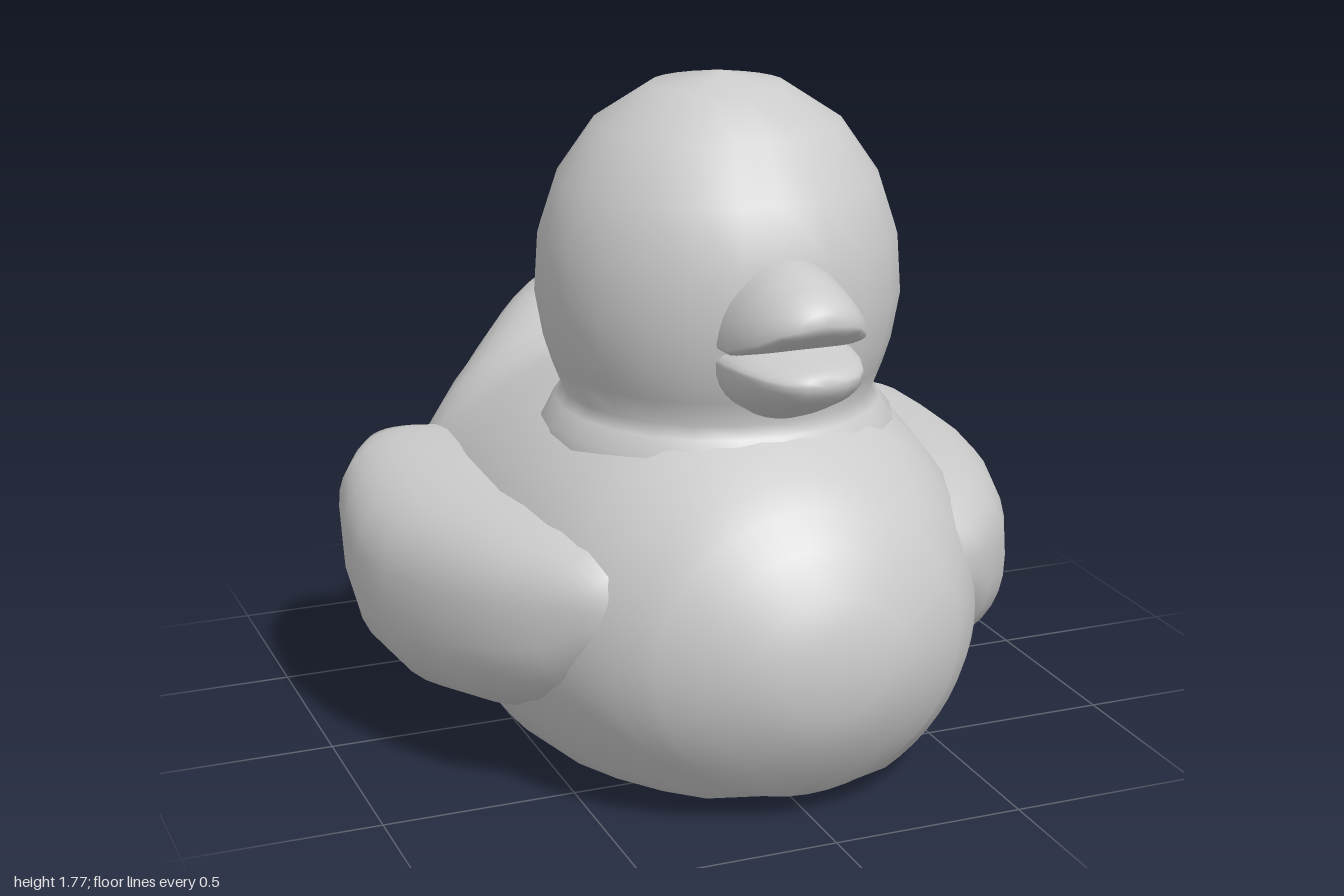
import * as THREE from 'three';
import { mergeVertices } from 'three/addons/utils/BufferGeometryUtils.js';

const material = new THREE.MeshStandardMaterial({ color: 0xcccccc });

// Skin a stack of oval rings running from +z to -z.
// Each row: [z, centreX, halfWidth, lowY, midY, highY]; power < 1 makes ovals boxier.
// Ovals reaching below the floor are cut there and closed with a slightly sagging base.
function loft(name, rows, { segments = 36, power = 1, floor = -1, droop = 0 } = {}) {
  const positions = [], index = [];
  const soft = v => Math.sign(v) * Math.pow(Math.abs(v), power);
  const add = (x, y, z) => positions.push(x, y - droop * x * x, z);
  for (const [z, cx, w, low, mid, high] of rows) {
    const start = -Math.asin(Math.min(1, (mid - floor) / (mid - low)));
    for (let j = 0; j <= segments; j++) {
      const a = start + (j / segments) * (Math.PI - 2 * start);
      const s = soft(Math.sin(a));
      add(cx + w * soft(Math.cos(a)), mid + s * (s > 0 ? high - mid : mid - low), z);
    }
    const rim = w * soft(Math.cos(start));
    for (const f of [-0.9, -0.45, 0, 0.45, 0.9]) {
      add(cx + f * rim, Math.max(low, floor) - 0.19 * rim * rim * (1 - f * f), z);
    }
  }
  const n = segments + 6;
  for (let i = 0; i < rows.length - 1; i++) {
    for (let j = 0; j < n; j++) {
      const a = i * n + j, b = i * n + (j + 1) % n;
      const c = b + n, d = a + n;
      index.push(a, d, b, b, d, c);
    }
  }
  let geometry = new THREE.BufferGeometry();
  geometry.setAttribute('position', new THREE.Float32BufferAttribute(positions, 3));
  geometry.setIndex(index);
  geometry = mergeVertices(geometry, 1e-4);
  geometry.computeVertexNormals();
  const mesh = new THREE.Mesh(geometry, material);
  mesh.name = name;
  return mesh;
}

// Body with an upturned tail: [z, halfWidth, lowY, midY, highY]
const bodyRows = [
  [1, 0, 0.43, 0.43, 0.43],
  [0.985, 0.13, 0.32, 0.43, 0.54],
  [0.96, 0.21, 0.24, 0.43, 0.62],
  [0.9, 0.32, 0.14, 0.43, 0.73],
  [0.83, 0.41, 0.06, 0.43, 0.81],
  [0.76, 0.475, 0, 0.42, 0.865],
  [0.68, 0.53, -0.04, 0.42, 0.91],
  [0.57, 0.585, -0.085, 0.42, 0.97],
  [0.45, 0.63, -0.12, 0.42, 1.01],
  [0.2, 0.68, -0.15, 0.42, 1.04],
  [-0.1, 0.69, -0.15, 0.42, 1.01],
  [-0.3, 0.69, -0.15, 0.43, 0.955],
  [-0.42, 0.67, -0.12, 0.45, 0.945],
  [-0.52, 0.63, -0.07, 0.47, 0.965],
  [-0.62, 0.55, -0.01, 0.5, 1],
  [-0.72, 0.45, 0.06, 0.54, 1.03],
  [-0.82, 0.35, 0.15, 0.6, 1.04],
  [-0.9, 0.27, 0.28, 0.66, 1.02],
  [-0.95, 0.19, 0.42, 0.7, 0.985],
  [-0.99, 0.09, 0.64, 0.76, 0.91],
  [-1, 0, 0.79, 0.79, 0.79],
];

// Wing, flaring outward to the back: [z, centreX, halfWidth, lowY, highY]
const wingRows = [
  [0.74, 0.42, 0, 0.55, 0.55],
  [0.68, 0.38, 0.16, 0.42, 0.66],
  [0.6, 0.36, 0.26, 0.3, 0.705],
  [0.5, 0.38, 0.33, 0.24, 0.725],
  [0.33, 0.45, 0.35, 0.18, 0.735],
  [0.12, 0.52, 0.36, 0.15, 0.735],
  [-0.05, 0.55, 0.36, 0.17, 0.735],
  [-0.2, 0.57, 0.33, 0.24, 0.735],
  [-0.35, 0.6, 0.27, 0.36, 0.73],
  [-0.45, 0.62, 0.19, 0.47, 0.715],
  [-0.51, 0.64, 0.12, 0.56, 0.7],
  [-0.535, 0.65, 0, 0.65, 0.65],
];

// Bill halves: [z, halfWidth, lowY, midY, highY]
const upperBillRows = [
  [0.893, 0, 1.28, 1.28, 1.28],
  [0.885, 0.065, 1.255, 1.275, 1.31],
  [0.865, 0.105, 1.24, 1.27, 1.335],
  [0.82, 0.14, 1.21, 1.25, 1.357],
  [0.76, 0.16, 1.19, 1.235, 1.372],
  [0.7, 0.175, 1.175, 1.22, 1.388],
  [0.52, 0.18, 1.175, 1.22, 1.4],
];
const lowerBillRows = [
  [0.912, 0, 1.137, 1.137, 1.137],
  [0.905, 0.055, 1.11, 1.14, 1.16],
  [0.88, 0.095, 1.087, 1.142, 1.17],
  [0.83, 0.13, 1.06, 1.145, 1.18],
  [0.75, 0.16, 1.022, 1.15, 1.19],
  [0.69, 0.172, 0.998, 1.15, 1.2],
  [0.52, 0.18, 0.99, 1.15, 1.2],
];

// Head and neck: [radius, y]; the lowest points are sunk in the shoulders
const headProfile = [
  [0.46, 0.84], [0.455, 0.89], [0.42, 0.935], [0.4, 0.965], [0.425, 1.03], [0.447, 1.1],
  [0.468, 1.22], [0.458, 1.37], [0.412, 1.51], [0.315, 1.65], [0.172, 1.743], [0, 1.775],
];

export function createModel() {
  const group = new THREE.Group();
  group.name = 'rubberDuck';

  // Body on a shallow base
  group.add(loft('body', bodyRows.map(([z, ...r]) => [z, 0, ...r]), { segments: 48, floor: 0.06 }));

  // Pair of wings
  for (const [name, side] of [['leftWing', 1], ['rightWing', -1]]) {
    group.add(loft(name, wingRows.map(([z, x, w, low, high]) =>
      [z, side * x, w, low, (low + high) / 2, high]), { power: 0.8 }));
  }

  // Head with a neck that flares into the shoulders
  const profile = headProfile.map(([r, y]) => new THREE.Vector2(r, y));
  const head = new THREE.Mesh(new THREE.LatheGeometry(profile, 24), material);
  head.name = 'head';
  head.position.z = 0.22;
  head.scale.z = 1.01;
  group.add(head);

  // Open bill, its corners drooping slightly
  for (const [name, rows, droop] of [['upperBill', upperBillRows, 1], ['lowerBill', lowerBillRows, 0.3]]) {
    group.add(loft(name, rows.map(([z, ...r]) => [z, 0, ...r]), { segments: 32, droop }));
  }

  return group;
}
